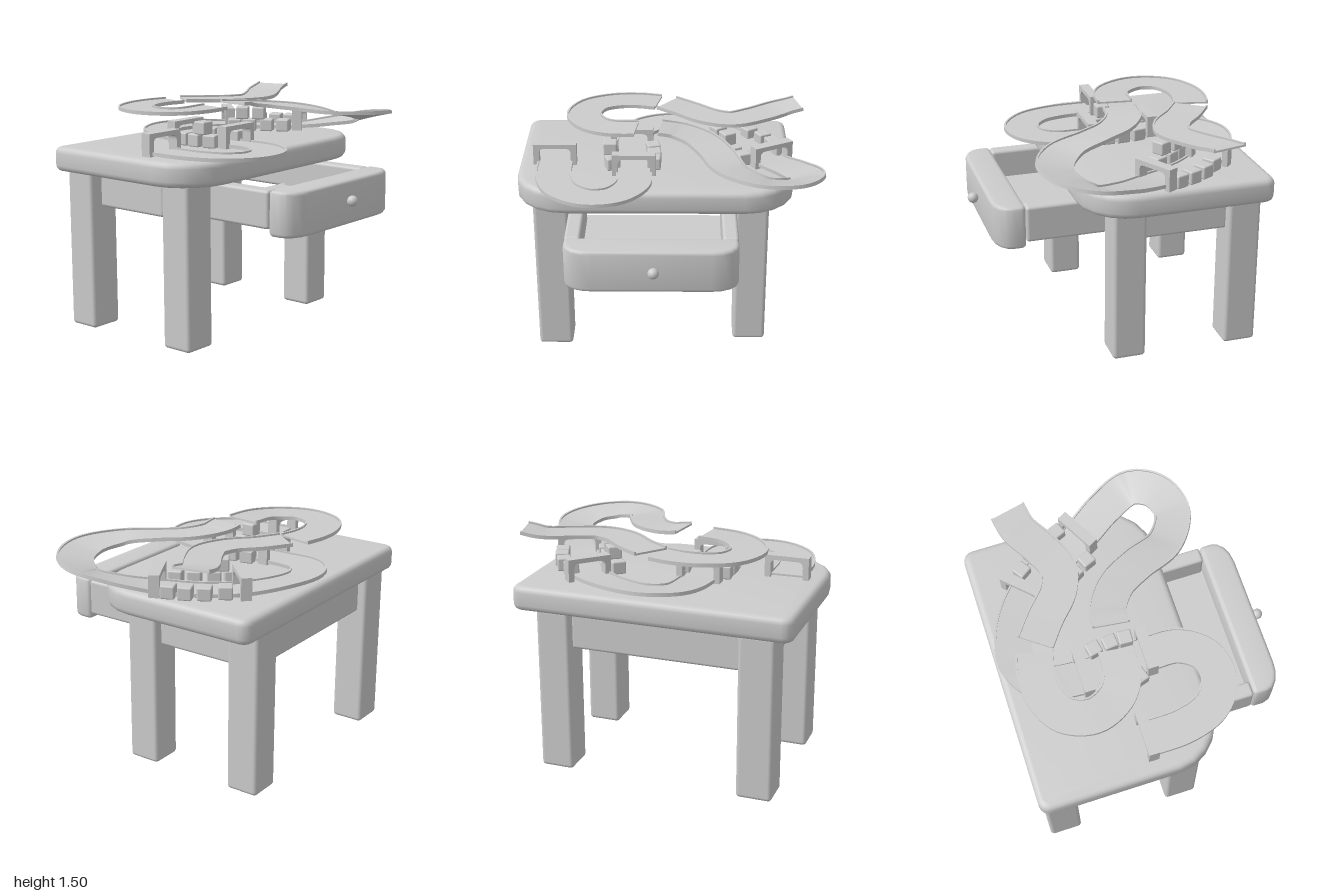
import * as THREE from 'three';
import { toCreasedNormals } from 'three/addons/utils/BufferGeometryUtils.js';
import { RoundedBoxGeometry } from 'three/addons/geometries/RoundedBoxGeometry.js';

const grey = new THREE.MeshStandardMaterial({ color: 0xcccccc });
const greyThin = new THREE.MeshStandardMaterial({ color: 0xcccccc, side: THREE.DoubleSide });

function add(parent, name, geometry, x = 0, y = 0, z = 0, turn = 0, material = grey) {
  const mesh = new THREE.Mesh(geometry, material);
  mesh.name = name;
  mesh.position.set(x, y, z);
  mesh.rotation.y = turn;
  parent.add(mesh);
  return mesh;
}

// Soft-edged box given by its limits
function softBox(parent, name, [x0, x1], [y0, y1], [z0, z1], r = 0.025) {
  const geo = new RoundedBoxGeometry(x1 - x0, y1 - y0, z1 - z0, 3, r);
  return add(parent, name, geo, (x0 + x1) / 2, (y0 + y1) / 2, (z0 + z1) / 2);
}

// Horizontal slab from an x/z outline, with rounded rims
function slab(parent, name, outline, y0, y1, bevel) {
  const shape = new THREE.Shape(outline.map(([x, z]) => new THREE.Vector2(x, z)));
  const geo = new THREE.ExtrudeGeometry(shape, {
    depth: y1 - y0 - 2 * bevel, bevelSize: bevel, bevelThickness: bevel,
    bevelOffset: -bevel, bevelSegments: 4,
  });
  geo.rotateX(Math.PI / 2);
  return add(parent, name, toCreasedNormals(geo, 0.6), 0, y1 - bevel, 0);
}

// Outline: small corners on -x, large faceted corners on +x
function outline(x0, x1, z0, z1, small, bigX, bigZ, steps) {
  const pts = [];
  const corner = (cx, cz, rx, rz, from, n) => {
    for (let i = 0; i <= n; i++) {
      const a = from + (i / n) * Math.PI / 2;
      pts.push([cx + rx * Math.cos(a), cz + rz * Math.sin(a)]);
    }
  };
  corner(x1 - bigX, z1 - bigZ, bigX, bigZ, 0, steps);
  corner(x0 + small, z1 - small, small, small, Math.PI / 2, 4);
  corner(x0 + small, z0 + small, small, small, Math.PI, 4);
  corner(x1 - bigX, z0 + bigZ, bigX, bigZ, -Math.PI / 2, steps);
  return pts;
}

// Track ribbon with raised lips; points are [x, y, z, bank], bank lifts the right edge
const W = 0.118;
const PROFILE = [[-W, -0.01], [W, -0.01], [W, 0.014], [W - 0.012, 0.014],
  [W - 0.012, 0.002], [-W + 0.012, 0.002], [-W + 0.012, 0.014], [-W, 0.014]];

function track(parent, name, points, steps) {
  const path = new THREE.CatmullRomCurve3(points.map(p => new THREE.Vector3(p[0], p[1], p[2])));
  const banks = new THREE.CatmullRomCurve3(points.map((p, i) => new THREE.Vector3(p[3] || 0, i, 0)), false, 'catmullrom', 0.5);
  const n = PROFILE.length, pos = [], idx = [];
  for (let i = 0; i <= steps; i++) {
    const t = i / steps;
    const c = path.getPoint(t), f = path.getTangent(t);
    const r = new THREE.Vector3(-f.z, 0, f.x).normalize();
    r.applyAxisAngle(f, -banks.getPoint(t).x);
    const u = new THREE.Vector3().crossVectors(r, f).normalize();
    for (const [a, b] of PROFILE) {
      const v = c.clone().addScaledVector(r, a).addScaledVector(u, b);
      pos.push(v.x, v.y, v.z);
    }
  }
  for (let i = 0; i < steps; i++) for (let j = 0; j < n; j++) {
    const a = i * n + j, b = i * n + (j + 1) % n;
    idx.push(a, a + n, b, b, a + n, b + n);
  }
  // End caps
  const caps = THREE.ShapeUtils.triangulateShape(PROFILE.map(p => new THREE.Vector2(...p)), []);
  for (const [a, b, c] of caps) idx.push(a, b, c, steps * n + a, steps * n + c, steps * n + b);
  const geo = new THREE.BufferGeometry();
  geo.setAttribute('position', new THREE.Float32BufferAttribute(pos, 3));
  geo.setIndex(idx);
  add(parent, name, toCreasedNormals(geo, 0.6), 0, 0, 0, 0, greyThin);
}

// Small gateway spanning the track; its opening faces x before turning
function archGeometry() {
  const s = new THREE.Shape();
  const w = 0.143, h = 0.145, iw = 0.105, ih = 0.115, r = 0.035;
  s.moveTo(-w, 0);
  s.lineTo(-iw, 0);
  s.lineTo(-iw, ih - r);
  s.quadraticCurveTo(-iw, ih, -iw + r, ih);
  s.lineTo(iw - r, ih);
  s.quadraticCurveTo(iw, ih, iw, ih - r);
  s.lineTo(iw, 0);
  s.lineTo(w, 0);
  s.lineTo(w, h);
  s.lineTo(-w, h);
  const geo = new THREE.ExtrudeGeometry(s, { depth: 0.068, bevelEnabled: false, curveSegments: 5 });
  return geo.translate(0, 0, -0.034).rotateY(Math.PI / 2);
}

export function createModel() {
  const model = new THREE.Group();
  model.name = 'playTable';

  // Table
  const table = new THREE.Group();
  table.name = 'table';
  model.add(table);
  slab(table, 'tableTop', outline(-0.9, 0.32, -0.82, 1.0, 0.07, 0.32, 0.33, 5), 1.06, 1.22, 0.04);
  const front = [0.66, 0.89], back = [-0.66, -0.44];
  softBox(table, 'frontLeftLeg', [-0.03, 0.19], [0, 1.08], front);
  softBox(table, 'backLeftLeg', [-0.1, 0.12], [0, 1.08], back);
  softBox(table, 'frontRightLeg', [-0.87, -0.65], [0, 1.08], front);
  softBox(table, 'backRightLeg', [-0.87, -0.65], [0, 1.08], back);
  softBox(table, 'frontApron', [-0.66, -0.1], [0.82, 1.06], [0.7, 0.8], 0.02);
  softBox(table, 'backApron', [-0.66, -0.09], [0.82, 1.06], [-0.6, -0.5], 0.02);
  softBox(table, 'sideApron', [-0.81, -0.71], [0.82, 1.06], [-0.45, 0.67], 0.02);

  // Open drawer
  const drawer = new THREE.Group();
  drawer.name = 'drawer';
  model.add(drawer);
  slab(drawer, 'drawerFront', outline(0.625, 0.82, -0.44, 0.65, 0.03, 0.11, 0.17, 4), 0.78, 1.065, 0.025);
  for (const z of [-0.44, 0.55]) softBox(drawer, 'drawerSide', [-0.02, 0.625], [0.82, 1.06], [z, z + 0.1], 0.02);
  add(drawer, 'drawerFloor', new THREE.BoxGeometry(0.7, 0.03, 1.0), 0.29, 0.855, 0.105);
  add(drawer, 'knob', new THREE.SphereGeometry(0.035, 20, 14), 0.858, 0.94, 0.09);

  // Toy track: entry ramp, upper loop and the long descending lane
  const toys = new THREE.Group();
  toys.name = 'toyTrack';
  model.add(toys);
  track(toys, 'entryRamp', [[-0.54, 1.49, -0.88], [-0.51, 1.465, -0.75], [-0.41, 1.455, -0.58],
    [-0.345, 1.45, -0.42], [-0.39, 1.45, -0.27], [-0.52, 1.45, -0.12], [-0.625, 1.455, 0.02]], 40);
  track(toys, 'upperLoop', [[-0.65, 1.45, 0.08], [-0.68, 1.45, 0.22], [-0.67, 1.45, 0.37],
    [-0.59, 1.45, 0.52], [-0.42, 1.45, 0.58], [-0.26, 1.45, 0.51], [-0.18, 1.455, 0.39], [-0.16, 1.46, 0.22]], 44);
  track(toys, 'descendingLane', [[-0.145, 1.475, 0.06], [-0.13, 1.46, -0.06], [-0.03, 1.445, -0.2],
    [0.14, 1.43, -0.3], [0.36, 1.4, -0.4, 0.1], [0.48, 1.375, -0.6, 0.2], [0.43, 1.35, -0.79, 0.2],
    [0.28, 1.32, -0.88, 0.2], [0.08, 1.28, -0.81, 0.1], [-0.13, 1.245, -0.68], [-0.36, 1.235, -0.56],
    [-0.56, 1.24, -0.42], [-0.72, 1.25, -0.19, 0.06], [-0.765, 1.25, 0.03, 0.08], [-0.67, 1.245, 0.2, 0.05],
    [-0.4, 1.235, 0.25], [0.03, 1.235, 0.23], [0.24, 1.235, 0.24], [0.39, 1.235, 0.35],
    [0.42, 1.235, 0.52], [0.31, 1.235, 0.68], [0.12, 1.235, 0.75], [-0.14, 1.235, 0.76]], 180);

  // Gateways: x, z, turn
  const arch = archGeometry();
  [[-0.14, -0.68, 0.5], [-0.59, -0.42, 0.8], [-0.39, 0.255, 0], [0.03, 0.23, 0], [-0.14, 0.76, 0]]
    .forEach(([x, z, turn]) => add(toys, 'gateway', arch, x, 1.22, z, turn));

  // Toy blocks beside the track: x, z, turn, level
  const block = new RoundedBoxGeometry(0.09, 0.085, 0.09, 2, 0.01);
  [[-0.27, -0.74, 0.4, 0], [-0.37, -0.7, 0.4, 0], [-0.47, -0.64, 0.5, 0], [-0.56, -0.55, 0.6, 0],
    [-0.14, -0.49, 0.4, 0], [-0.24, -0.43, 0.5, 0], [-0.34, -0.36, 0.6, 0], [-0.42, -0.29, 0.7, 0],
    [-0.28, -0.39, 0.5, 1], [-0.38, -0.33, 0.6, 1],
    [-0.28, 0.11, 0.2, 0], [-0.17, 0.1, 0.1, 0], [-0.07, 0.1, -0.05, 0],
    [-0.28, 0.39, 0.1, 0], [-0.17, 0.39, 0, 0], [-0.06, 0.375, 0.3, 0], [-0.115, 0.39, 0, 1]]
    .forEach(([x, z, turn, level]) => add(toys, 'toyBlock', block, x, 1.262 + level * 0.085, z, turn));

  return model;
}
